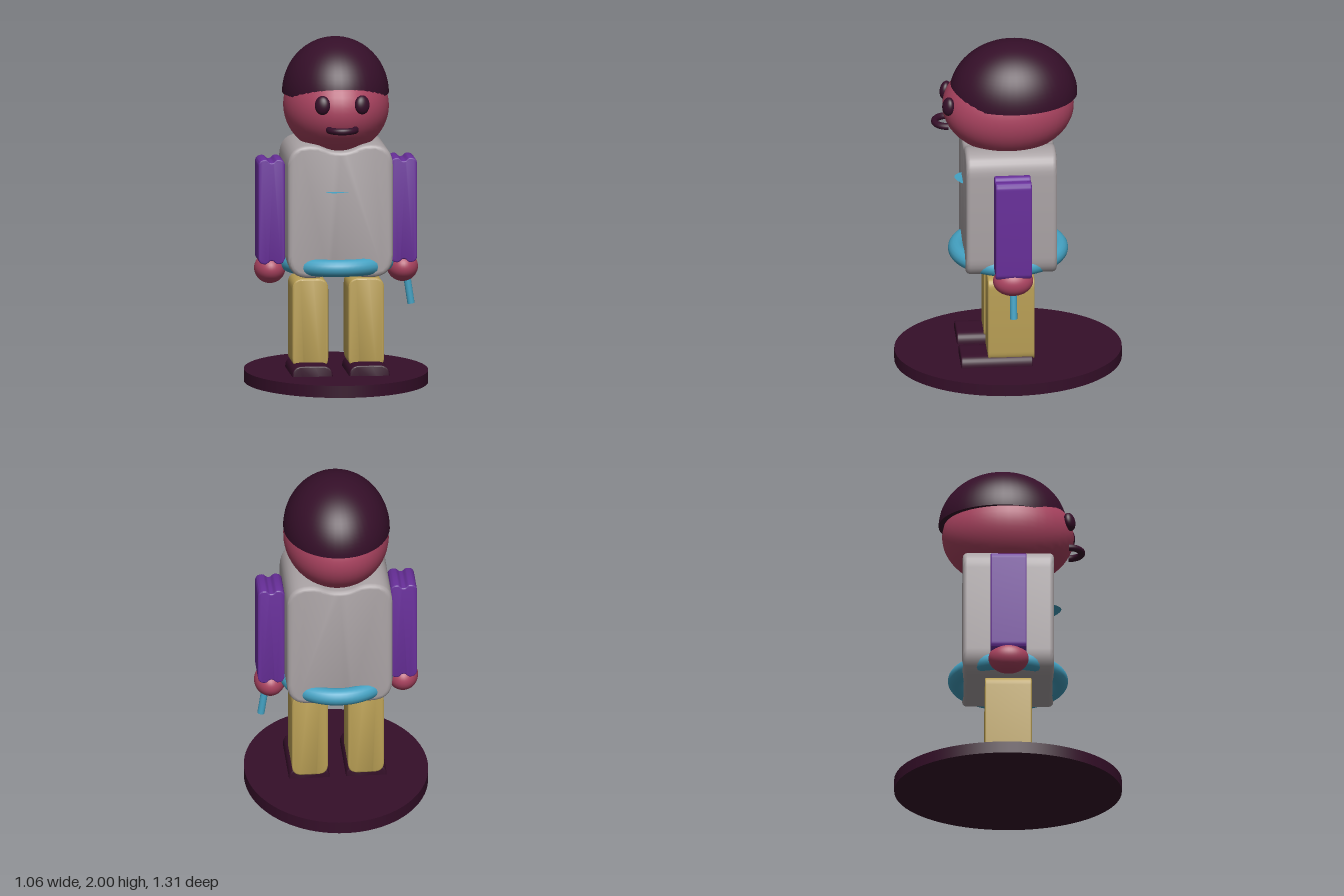
import * as THREE from 'three';
import { toCreasedNormals } from 'three/addons/utils/BufferGeometryUtils.js';

const mat = (name, color, extra = {}) => {
  const m = new THREE.MeshStandardMaterial({ color, ...extra });
  m.name = name;
  return m;
};

// Rounded slab extruded along z; top and bottom edges may dip in the middle
function slab(w, h, d, r, dipTop = 0, dipBottom = 0, bevel = 0.015) {
  const x = w / 2, y = h / 2, a = x - r, s = new THREE.Shape();
  s.moveTo(x, -y + r);
  s.lineTo(x, y - r);
  s.quadraticCurveTo(x, y, a, y);
  s.bezierCurveTo(a * 0.5, y, a * 0.5, y - dipTop, 0, y - dipTop);
  s.bezierCurveTo(-a * 0.5, y - dipTop, -a * 0.5, y, -a, y);
  s.quadraticCurveTo(-x, y, -x, y - r);
  s.lineTo(-x, -y + r);
  s.quadraticCurveTo(-x, -y, -a, -y);
  s.bezierCurveTo(-a * 0.5, -y, -a * 0.5, -y + dipBottom, 0, -y + dipBottom);
  s.bezierCurveTo(a * 0.5, -y + dipBottom, a * 0.5, -y, a, -y);
  s.quadraticCurveTo(x, -y, x, -y + r);
  const g = new THREE.ExtrudeGeometry(s, {
    depth: d - 2 * bevel, curveSegments: 8, bevelEnabled: true,
    bevelThickness: bevel, bevelSize: bevel, bevelOffset: -bevel, bevelSegments: 3,
  });
  g.translate(0, 0, -d / 2 + bevel);
  return toCreasedNormals(g, 0.7);
}

export function createModel() {
  const group = new THREE.Group();
  const dark = mat('dark plum', 0x350f29, { side: THREE.DoubleSide });
  const skin = mat('rose skin', 0xaa4360);
  const grey = mat('shirt grey', 0xaaa3a5);
  const purple = mat('sleeve purple', 0x682f9a);
  const tan = mat('trouser tan', 0xb99f55);
  const blue = mat('bright blue', 0x44a2c3, { side: THREE.DoubleSide });

  const add = (name, geometry, material, x = 0, y = 0, z = 0) => {
    const m = new THREE.Mesh(geometry, material);
    m.name = name;
    m.position.set(x, y, z);
    group.add(m);
    return m;
  };
  const ball = (rx, ry, rz) => new THREE.SphereGeometry(1, 40, 28).scale(rx, ry, rz);

  // Oval stand
  add('base', new THREE.CylinderGeometry(1, 1, 0.07, 80).scale(0.53, 1, 0.656), dark, 0, 0.035, 0);

  // Body and belt
  add('torso', slab(0.61, 0.775, 0.525, 0.13, 0.04, 0.02, 0.025), grey, 0, 1.025, 0);
  add('belt', new THREE.TorusGeometry(0.29, 0.05, 16, 64).rotateX(Math.PI / 2).scale(0.98, 1, 1.02),
    blue, 0, 0.7, 0);

  // Flat badge tip poking out of the chest
  const tip = new THREE.Shape();
  tip.moveTo(-0.08, 0);
  tip.quadraticCurveTo(-0.03, 0.09, 0.08, 0);
  add('chestBadge', new THREE.ShapeGeometry(tip).rotateX(Math.PI / 2), blue, -0.02, 1.14, 0.262);

  // Head, cap and mouth
  add('head', ball(0.304, 0.28, 0.38), skin, 0, 1.61, 0);
  const dome = new THREE.SphereGeometry(1, 48, 20, 0, Math.PI * 2, 0, Math.PI / 2);
  add('cap', dome.scale(0.307, 0.32, 0.37), dark, 0, 1.68, -0.03);
  add('capUnderside', new THREE.CircleGeometry(1, 48).rotateX(Math.PI / 2).scale(0.307, 1, 0.37),
    dark, 0, 1.68, -0.03);
  add('mouth', new THREE.TorusGeometry(0.075, 0.02, 12, 24, Math.PI).rotateX(Math.PI / 2),
    dark, 0, 1.515, 0.35);

  // Paired parts
  for (const [side, s] of [['left', 1], ['right', -1]]) {
    const eye = add(side + 'Eye', ball(0.045, 0.055, 0.032), dark, s * 0.115, 1.66, 0.353);
    eye.rotation.set(-0.15, s * 0.4, 0);
    add(side + 'Arm', slab(0.155, 0.61, 0.208, 0.04, 0.02, 0.02, 0.008), purple, s * 0.3825, 1.005, 0);
    add(side + 'Hand', ball(0.09, 0.087, 0.116), skin, s * 0.384, 0.665, 0);
    add(side + 'Leg', slab(0.208, 0.52, 0.27, 0.06, 0, 0, 0.008), tan, s * 0.162, 0.355, 0);
    add(side + 'Foot', slab(0.235, 0.13, 0.415, 0.06, 0, 0, 0.008), dark, s * 0.165, 0.065, 0.083);
  }

  // Short rod held in the left hand
  const rod = add('rod', new THREE.CylinderGeometry(0.021, 0.021, 0.22, 20), blue, 0.418, 0.555, 0);
  rod.rotation.z = 0.15;

  return group;
}
